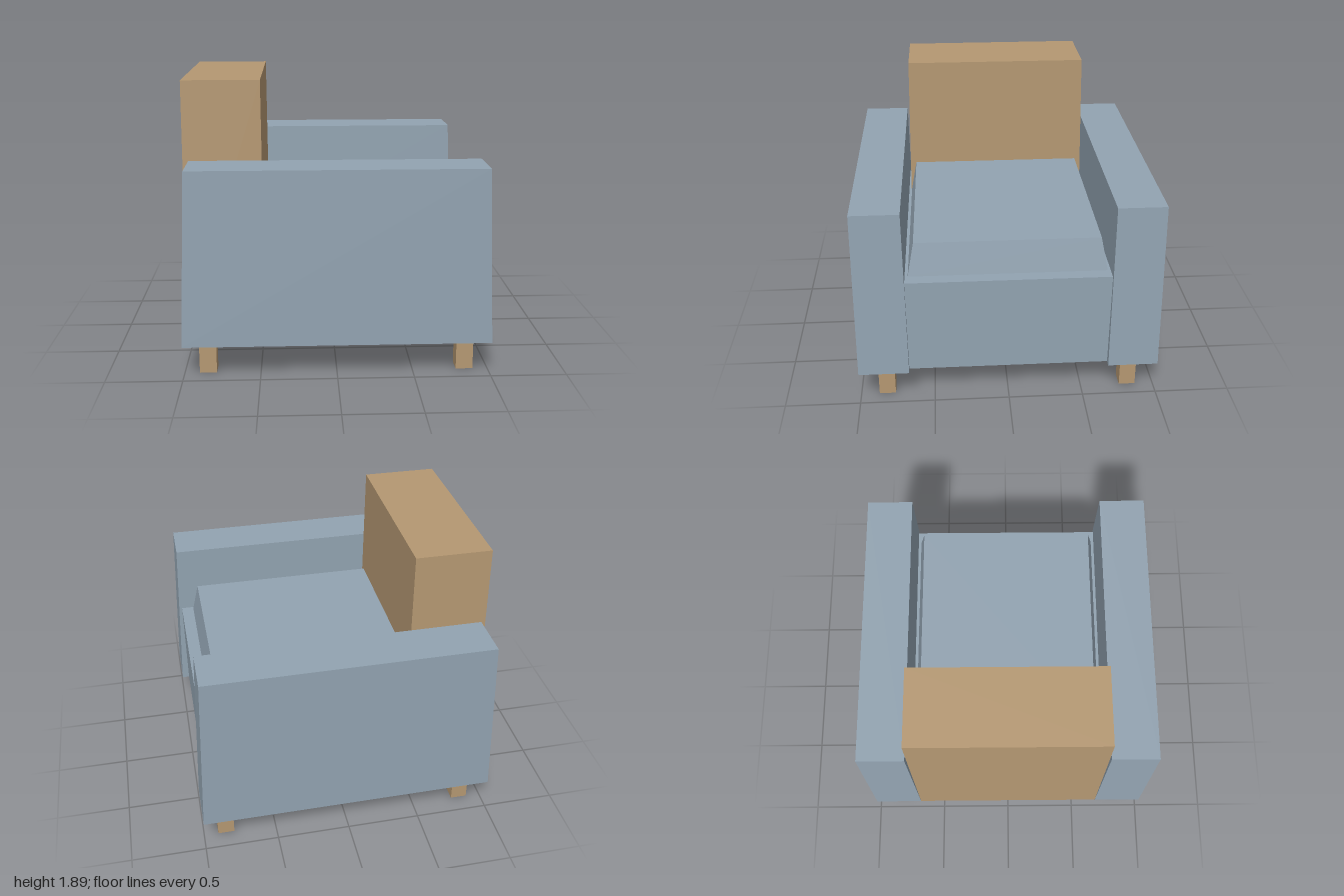
import * as THREE from 'three';

const fabric = new THREE.MeshStandardMaterial({ color: 0x92a3b1 });
fabric.name = 'greyBlueFabric';
const wood = new THREE.MeshStandardMaterial({ color: 0xb59872 });
wood.name = 'tan';

// Box whose top rectangle may differ from its bottom one; ranges are [min, max]
function taperedBox(name, material, y, bottom, top = bottom) {
  const geo = new THREE.BoxGeometry(1, 1, 1);
  const p = geo.attributes.position;
  for (let i = 0; i < p.count; i++) {
    const up = p.getY(i) > 0;
    const ring = up ? top : bottom;
    p.setXYZ(i, ring.x[p.getX(i) > 0 ? 1 : 0], y[up ? 1 : 0], ring.z[p.getZ(i) > 0 ? 1 : 0]);
  }
  geo.computeVertexNormals();
  const mesh = new THREE.Mesh(geo, material);
  mesh.name = name;
  return mesh;
}

const mirrorRange = ([a, b], side) => (side > 0 ? [a, b] : [-b, -a]);

export function createModel() {
  const chair = new THREE.Group();
  chair.name = 'armchair';

  // Seat base between the arms
  chair.add(taperedBox('seatBase', fabric, [0.23, 0.89], { x: [-0.82, 0.95], z: [-0.67, 0.67] }));

  // Bevelled seat cushion, its rear tucked into the backrest
  chair.add(taperedBox('seatCushion', fabric, [0.89, 1.11],
    { x: [-0.7, 0.865], z: [-0.65, 0.65] },
    { x: [-0.66, 0.82], z: [-0.608, 0.608] }));

  // Tall backrest, slightly narrower at the top; underside a hair below the base
  chair.add(taperedBox('backrest', wood, [0.228, 1.893],
    { x: [-0.998, -0.473], z: [-0.665, 0.665] },
    { x: [-0.988, -0.482], z: [-0.635, 0.635] }));

  // Arms and legs on both sides
  for (const side of [1, -1]) {
    const s = side > 0 ? 'Left' : 'Right';
    chair.add(taperedBox('arm' + s, fabric, [0.23, 1.38],
      { x: [-1, 1], z: mirrorRange([0.665, 1], side) },
      { x: [-0.95, 0.95], z: mirrorRange([0.675, 0.993], side) }));
    for (const end of [1, -1]) {
      chair.add(taperedBox((end > 0 ? 'frontLeg' : 'backLeg') + s, wood, [0, 0.23],
        { x: mirrorRange([0.79, 0.902], end), z: mirrorRange([0.767, 0.877], side) }));
    }
  }
  return chair;
}
